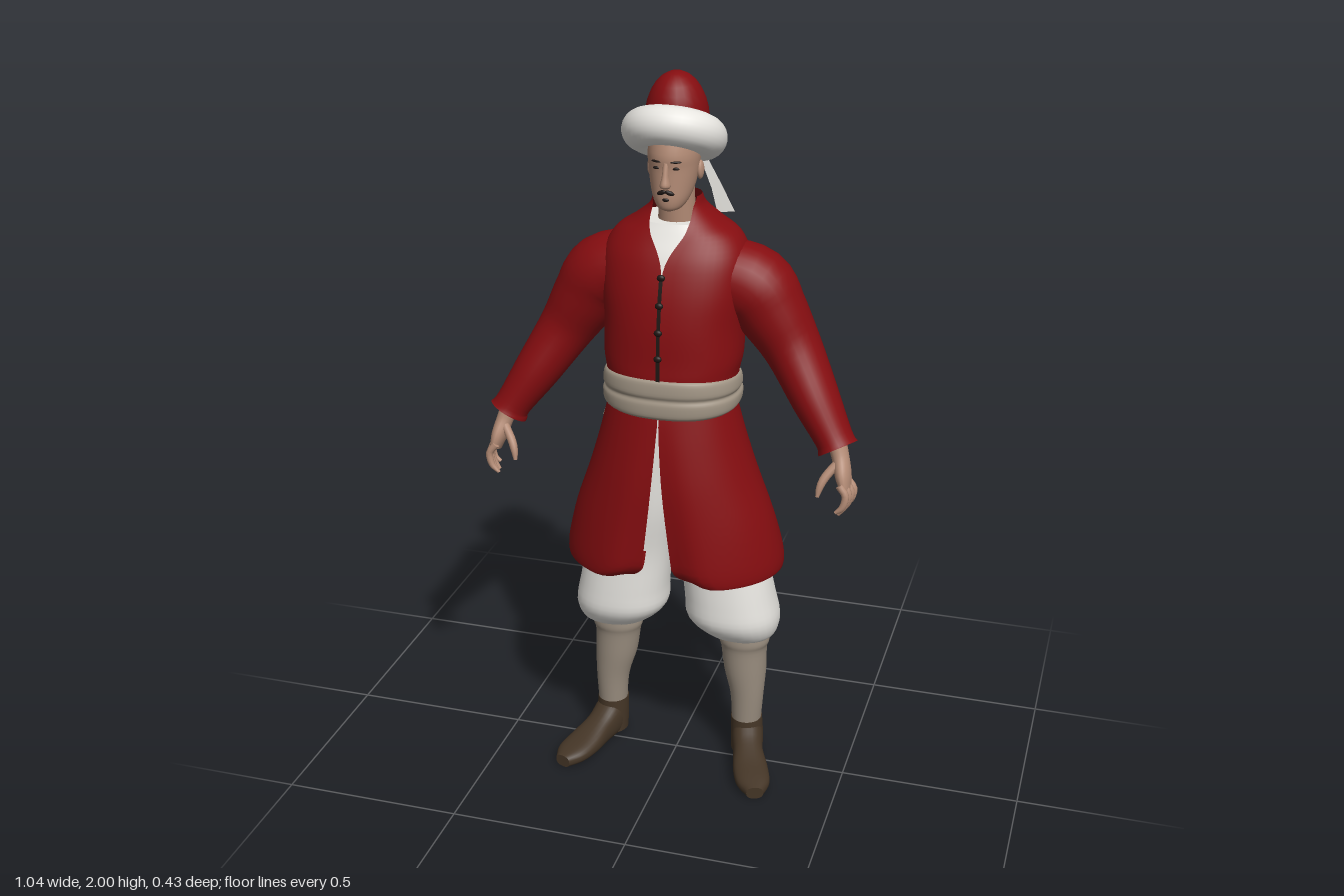
import * as THREE from 'three';

const mat = (name, color, side = THREE.FrontSide) => {
  const m = new THREE.MeshStandardMaterial({ color, side });
  m.name = name;
  return m;
};
const M = {
  red: mat('deep red wool', 0x850d10, THREE.DoubleSide),
  white: mat('white cloth', 0xeae8e3, THREE.DoubleSide),
  sash: mat('sash beige', 0xa09484, THREE.DoubleSide),
  stocking: mat('stocking taupe', 0x968a7c),
  skin: mat('skin', 0xb48c76),
  leather: mat('brown leather', 0x443526),
  dark: mat('dark trim', 0x1e1613, THREE.DoubleSide),
};
const X = new THREE.Vector3(1, 0, 0), Y = new THREE.Vector3(0, 1, 0), Z = new THREE.Vector3(0, 0, 1);

// Smooth skin over rings [x, y, z, radiusU, radiusV]; T fixes the ring axis,
// otherwise rings follow the path. gap(y) opens the ring at the front by a half angle.
function loft(rings, { n = 28, steps = 4, p = 2, T = null, V = Z, gap = null, dip = 0 } = {}) {
  const path = new THREE.CatmullRomCurve3(rings.map(r => new THREE.Vector3(r[0], r[1], r[2])), false, 'catmullrom');
  const size = new THREE.CatmullRomCurve3(rings.map(r => new THREE.Vector3(r[3], r[4], 0)), false, 'catmullrom');
  const rows = (rings.length - 1) * steps, cols = gap ? n + 1 : n;
  const pos = [], idx = [], centres = [];
  const pw = v => Math.sign(v) * Math.abs(v) ** (2 / p);
  for (let i = 0; i <= rows; i++) {
    const c = path.getPoint(i / rows), r = size.getPoint(i / rows);
    const t = T ? T.clone().normalize() : path.getTangent(i / rows);
    const v = V.clone().addScaledVector(t, -t.dot(V)).normalize();
    const u = t.clone().cross(v);
    const g = gap ? gap(c.y) : 0;
    centres.push(c);
    for (let j = 0; j < cols; j++) {
      const a = g + (2 * Math.PI - 2 * g) * j / n;
      const edge = Math.min(a, 2 * Math.PI - a) - g;
      const k = 1 - dip * g * Math.exp(-edge * edge / 0.03);
      const q = c.clone().addScaledVector(u, r.x * pw(Math.sin(a))).addScaledVector(v, r.y * k * pw(Math.cos(a)));
      pos.push(q.x, q.y, q.z);
    }
  }
  for (let i = 0; i < rows; i++) for (let j = 0; j < n; j++) {
    const k = gap ? j + 1 : (j + 1) % n;
    const a = i * cols + j, b = i * cols + k, d = a + cols, c = b + cols;
    idx.push(a, b, c, a, c, d);
  }
  // End caps with their own vertices for a crisp rim
  if (!gap) for (const i of [0, rows]) {
    const base = pos.length / 3;
    for (let j = 0; j < n; j++) pos.push(...pos.slice((i * cols + j) * 3, (i * cols + j) * 3 + 3));
    pos.push(...centres[i].toArray());
    for (let j = 0; j < n; j++) {
      const k = (j + 1) % n;
      idx.push(base + n, base + (i ? j : k), base + (i ? k : j));
    }
  }
  return geometry(pos, idx);
}

function geometry(pos, idx) {
  const g = new THREE.BufferGeometry();
  g.setAttribute('position', new THREE.Float32BufferAttribute(pos, 3));
  g.setIndex(idx);
  g.computeVertexNormals();
  return g;
}

// Thin cloth strip between two edges given as point pairs
function strip(pairs) {
  const idx = [];
  for (let i = 0; i < pairs.length - 1; i++) {
    const a = i * 2;
    idx.push(a, a + 2, a + 1, a + 1, a + 2, a + 3);
  }
  return geometry(pairs.flat(2), idx);
}

const blob = (rx, ry, rz) => new THREE.SphereGeometry(1, 20, 14).scale(rx, ry, rz);
const flip = (rings, s) => rings.map(r => [r[0] * s, ...r.slice(1)]);

export function createModel() {
  const model = new THREE.Group();
  const add = (name, geo, material, x = 0, y = 0, z = 0, parent = model) => {
    const m = new THREE.Mesh(geo, material);
    m.name = name;
    m.position.set(x, y, z);
    parent.add(m);
    return m;
  };

  // Coat body, open in a V at the neck
  const torso = [
    [0, 1.16, 0.03, 0.174, 0.135], [0, 1.22, 0.028, 0.178, 0.145], [0, 1.27, 0.02, 0.187, 0.15],
    [0, 1.36, 0.01, 0.188, 0.155], [0, 1.45, 0, 0.198, 0.15], [0, 1.53, -0.01, 0.195, 0.135],
    [0, 1.585, -0.02, 0.167, 0.115], [0, 1.62, -0.022, 0.117, 0.097], [0, 1.655, -0.02, 0.075, 0.074],
    [0, 1.685, -0.015, 0.063, 0.058]];
  add('coatBody', loft(torso, {
    n: 48, p: 2.25, T: Y, gap: y => 0.002 + 1.1 * Math.max(0, (y - 1.49) / 0.19) ** 2.6,
  }), M.red);
  add('shirt', loft(torso.slice(2, 8).map(r => [r[0], r[1], r[2], r[3] - 0.012, r[4] - 0.012]),
    { n: 40, p: 2.25, T: Y }), M.white);

  // Coat skirt with a turned hem and a front slit
  add('coatSkirt', loft([
    [0, 0.73, 0.005, 0.275, 0.2], [0, 0.662, 0.005, 0.296, 0.213], [0, 0.645, 0.005, 0.306, 0.222],
    [0, 0.69, 0.006, 0.305, 0.222], [0, 0.8, 0.015, 0.278, 0.204], [0, 0.92, 0.022, 0.236, 0.186],
    [0, 1.02, 0.027, 0.205, 0.166], [0, 1.1, 0.03, 0.184, 0.148], [0, 1.15, 0.03, 0.172, 0.138],
  ], {
    n: 64, T: Y, dip: 1.1,
    gap: y => 0.01 + 0.14 * Math.max(0, (1.1 - y) / 0.45) + 0.1 * Math.max(0, (0.69 - y) / 0.045) ** 2,
  }), M.red);

  // Sash, narrower at the back, and its hanging end
  const sash = loft([
    [0, 1.118, 0.03, 0.176, 0.142], [0, 1.13, 0.03, 0.186, 0.152], [0, 1.16, 0.03, 0.188, 0.153],
    [0, 1.175, 0.03, 0.182, 0.148], [0, 1.19, 0.03, 0.187, 0.153], [0, 1.222, 0.03, 0.183, 0.15],
    [0, 1.232, 0.03, 0.172, 0.14]], { n: 48, p: 2.3, T: Y });
  const sp = sash.attributes.position;
  for (let i = 0; i < sp.count; i++) {
    sp.setY(i, 1.17 + (sp.getY(i) - 1.17) * THREE.MathUtils.mapLinear(sp.getZ(i), -0.12, 0.18, 0.55, 1));
  }
  sash.computeVertexNormals();
  add('sash', sash, M.sash);
  add('sashEnd', strip([
    [[-0.13, 1.16, -0.095], [-0.17, 1.16, -0.06]], [[-0.16, 1.08, -0.14], [-0.215, 1.08, -0.09]],
    [[-0.185, 0.985, -0.17], [-0.25, 0.99, -0.115]]]), M.sash);

  // Front closure and buttons
  const front = [[1.22, 0.174], [1.27, 0.172], [1.36, 0.167], [1.45, 0.152], [1.5, 0.138]];
  add('placket', strip(front.map(([y, z]) => [[0.005, y, z + 0.002], [-0.005, y, z + 0.002]])), M.dark);
  for (const [y, z] of [[1.5, 0.139], [1.43, 0.157], [1.36, 0.168], [1.29, 0.172]]) {
    add('button', blob(0.011, 0.009, 0.007), M.dark, 0, y, z + 0.002);
  }

  for (const s of [1, -1]) {
    const side = s > 0 ? 'left' : 'right';
    // Sleeve
    add(side + 'Sleeve', loft(flip([
      [0.12, 1.475, -0.015, 0.1, 0.1], [0.205, 1.445, -0.025, 0.106, 0.108], [0.255, 1.38, -0.025, 0.095, 0.098],
      [0.315, 1.285, -0.02, 0.077, 0.086], [0.39, 1.165, 0.025, 0.063, 0.074], [0.448, 1.075, 0.058, 0.05, 0.06],
      [0.462, 1.05, 0.066, 0.055, 0.062]], s)), M.red);

    // Hand: palm, four fingers and a thumb
    const hand = new THREE.Group();
    hand.name = side + 'Hand';
    model.add(hand);
    add('palm', loft(flip([
      [0.46, 1.06, 0.065, 0.025, 0.027], [0.472, 1.025, 0.075, 0.023, 0.028], [0.483, 0.985, 0.09, 0.021, 0.037],
      [0.492, 0.95, 0.1, 0.014, 0.034]], s), { n: 16 }), M.skin, 0, 0, 0, hand);
    for (let i = 0; i < 4; i++) {
      const z = 0.074 + i * 0.018, x = 0.498 - i * 0.004, len = [0.055, 0.07, 0.072, 0.06][i];
      add('finger', loft(flip([
        [x - 0.006, 0.97, z, 0.01, 0.009], [x + 0.012, 0.945, z + 0.003, 0.01, 0.009],
        [x + 0.006, 0.925 - len * 0.2, z + 0.006, 0.009, 0.0085], [x - 0.012, 0.955 - len, z + 0.008, 0.005, 0.005],
      ], s), { n: 10, steps: 3 }), M.skin, 0, 0, 0, hand);
    }
    add('thumb', loft(flip([
      [0.468, 1.02, 0.09, 0.012, 0.012], [0.44, 0.985, 0.112, 0.012, 0.011], [0.428, 0.958, 0.123, 0.01, 0.01],
      [0.423, 0.932, 0.13, 0.005, 0.005]], s), { n: 10, steps: 3 }), M.skin, 0, 0, 0, hand);

    // Baggy breeches
    add(side + 'Breeches', loft(flip([
      [0.19, 0.408, -0.035, 0.072, 0.068], [0.185, 0.42, -0.028, 0.1, 0.095], [0.165, 0.47, -0.018, 0.131, 0.121],
      [0.155, 0.54, -0.012, 0.128, 0.117], [0.135, 0.66, -0.008, 0.121, 0.108], [0.1, 0.8, 0, 0.106, 0.11],
      [0.08, 0.95, 0.01, 0.092, 0.105], [0.06, 1.12, 0.02, 0.09, 0.1]], s), { n: 32, p: 2.2, T: Y }), M.white);

    // Stocking
    add(side + 'Stocking', loft(flip([
      [0.204, 0.1, -0.03, 0.041, 0.043], [0.204, 0.2, -0.032, 0.048, 0.047], [0.195, 0.28, -0.042, 0.061, 0.06],
      [0.19, 0.35, -0.045, 0.066, 0.063], [0.19, 0.375, -0.045, 0.073, 0.067], [0.19, 0.4, -0.045, 0.07, 0.065],
      [0.19, 0.45, -0.045, 0.066, 0.06]], s), { T: Y }), M.stocking);

    // Shoe, turned outwards
    add(side + 'Shoe', loft(flip([
      [0.198, 0.04, -0.082, 0.028, 0.04], [0.203, 0.055, -0.055, 0.044, 0.055], [0.213, 0.06, -0.01, 0.046, 0.06],
      [0.228, 0.045, 0.04, 0.043, 0.045], [0.25, 0.032, 0.1, 0.05, 0.032], [0.272, 0.024, 0.155, 0.047, 0.024],
      [0.287, 0.018, 0.195, 0.024, 0.018]], s), { p: 2.4, T: new THREE.Vector3(0.32 * s, 0, 0.95), V: Y }), M.leather);
    add(side + 'ShoeCollar', loft(flip([
      [0.207, 0.02, -0.03, 0.046, 0.05], [0.206, 0.07, -0.032, 0.047, 0.05], [0.204, 0.125, -0.033, 0.045, 0.047],
    ], s), { T: Y }), M.leather);
  }

  // Head and neck
  add('neck', loft([[0, 1.55, -0.02, 0.055, 0.055], [0, 1.66, -0.006, 0.048, 0.05], [0, 1.73, -0.002, 0.047, 0.052]], { T: Y }), M.skin);
  add('head', loft([
    [0, 1.66, 0.065, 0.014, 0.016], [0, 1.668, 0.057, 0.032, 0.036], [0, 1.69, 0.042, 0.047, 0.056],
    [0, 1.725, 0.027, 0.058, 0.071], [0, 1.77, 0.018, 0.065, 0.08], [0, 1.81, 0.015, 0.067, 0.085],
    [0, 1.88, 0, 0.06, 0.08]], { n: 32, T: Y }), M.skin);
  add('nose', loft([
    [0, 1.724, 0.096, 0.01, 0.01], [0, 1.732, 0.1, 0.014, 0.019], [0, 1.755, 0.098, 0.009, 0.014],
    [0, 1.79, 0.094, 0.007, 0.007]], { n: 14, T: Y }), M.skin);
  for (const s of [1, -1]) {
    add('ear', blob(0.009, 0.025, 0.017), M.skin, s * 0.066, 1.755, 0.005);
    add('eye', blob(0.01, 0.004, 0.004), M.dark, s * 0.025, 1.775, 0.092);
    add('eyebrow', blob(0.015, 0.003, 0.004), M.dark, s * 0.026, 1.792, 0.093).rotation.y = s * 0.35;
    const half = add('moustache', blob(0.013, 0.006, 0.005), M.dark, s * 0.011, 1.713, 0.099);
    half.rotation.set(0, s * 0.25, -s * 0.35);
  }
  add('chinTuft', blob(0.009, 0.005, 0.004), M.dark, 0, 1.694, 0.097);

  // Hat: dome, tilted fur brim and a ribbon behind
  add('hatDome', blob(0.083, 0.126, 0.09), M.red, -0.004, 1.875, -0.022).rotation.x = 0.1;
  add('hatBrim', new THREE.TorusGeometry(0.086, 0.051, 24, 48).rotateX(Math.PI / 2 - 0.48), M.white, -0.007, 1.84, -0.006);
  add('hatRibbon', strip([
    [[0.05, 1.77, -0.05], [0.06, 1.77, -0.075]], [[0.07, 1.68, -0.09], [0.09, 1.68, -0.123]],
    [[0.08, 1.61, -0.112], [0.115, 1.6, -0.163]]]), M.white);

  return model;
}
